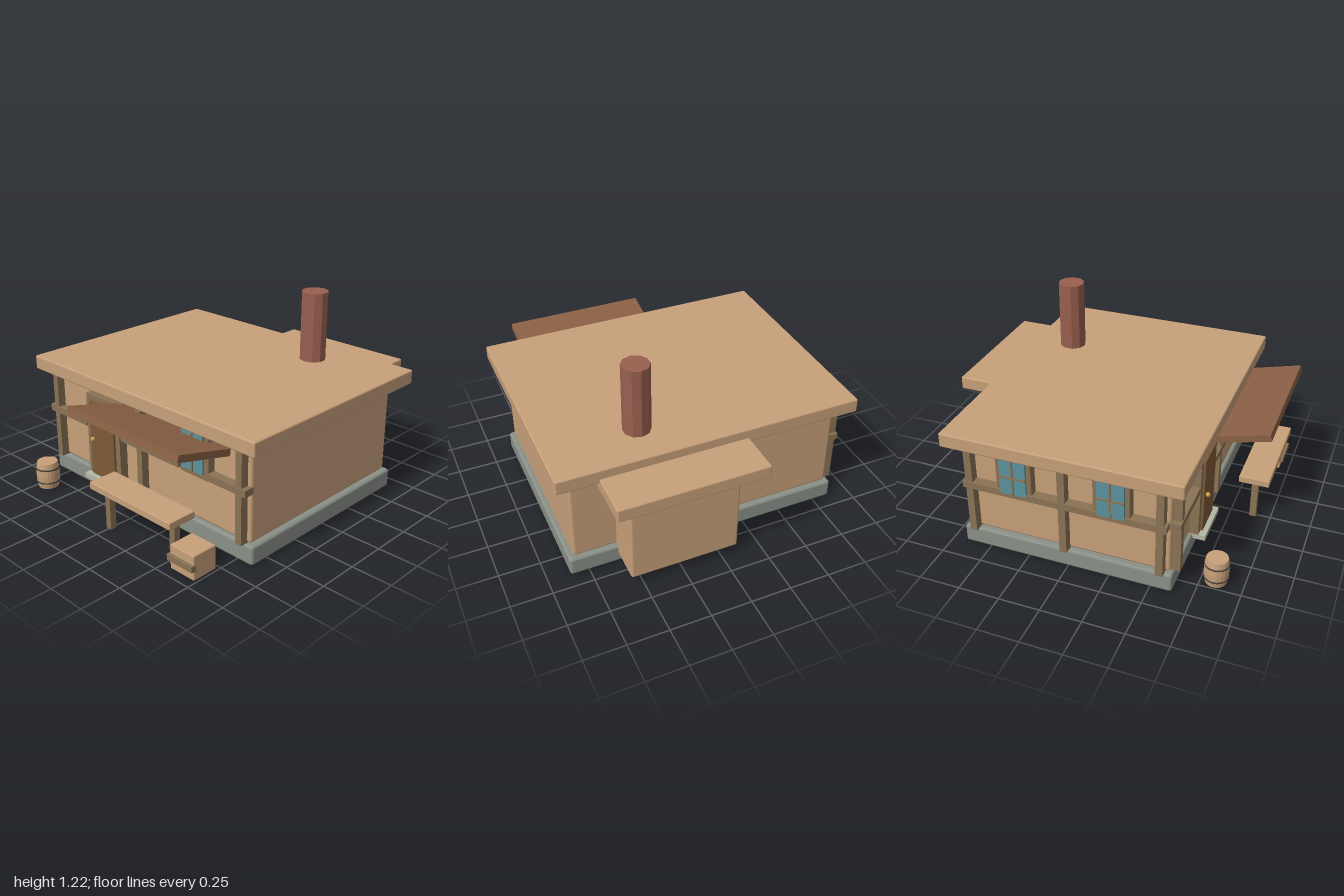
import * as THREE from 'three';
import { RoundedBoxGeometry } from 'three/addons/geometries/RoundedBoxGeometry.js';

const mat = (color, extra = {}) => new THREE.MeshStandardMaterial({ color, ...extra });
const tan = mat(0xc8a07a), stone = mat(0x8a9088), timber = mat(0x8a7355), brown = mat(0x8a6045);
const doorWood = mat(0x7d5a38), glass = mat(0x5a93a0), brick = mat(0x99604f, { flatShading: true });
const paleStone = mat(0xb4b8a8), iron = mat(0x4a4540), brass = mat(0xc9a050);

export function createModel() {
  const house = new THREE.Group();
  house.name = 'house';

  const add = (parent, name, geometry, material) => {
    const mesh = new THREE.Mesh(geometry, material);
    mesh.name = name;
    parent.add(mesh);
    return mesh;
  };
  // Box given by its limits on each axis; r > 0 rounds the edges
  const box = (parent, name, material, [x0, x1], [y0, y1], [z0, z1], r = 0) => {
    const s = [x1 - x0, y1 - y0, z1 - z0];
    const geometry = r ? new RoundedBoxGeometry(...s, 2, r) : new THREE.BoxGeometry(...s);
    const mesh = add(parent, name, geometry, material);
    mesh.position.set((x0 + x1) / 2, (y0 + y1) / 2, (z0 + z1) / 2);
    return mesh;
  };
  const group = (name, parent = house) => {
    const g = new THREE.Group();
    g.name = name;
    parent.add(g);
    return g;
  };

  // Main body
  box(house, 'foundation', stone, [-0.865, 0.865], [0, 0.12], [-0.665, 0.63], 0.018);
  box(house, 'walls', tan, [-0.835, 0.835], [0.12, 0.7], [-0.64, 0.61], 0.018);
  box(house, 'roof', tan, [-0.93, 0.93], [0.695, 0.785], [-0.735, 0.7], 0.01);

  // Rear extension with its footings
  box(house, 'extensionWalls', tan, [-0.1, 0.57], [0.055, 0.65], [-0.875, -0.58], 0.015);
  box(house, 'extensionRoof', tan, [-0.215, 0.685], [0.64, 0.725], [-1, -0.6], 0.01);
  for (const x of [-0.11, 0.235])
    box(house, 'footing', tan, [x - 0.05, x + 0.05], [0, 0.17], [-0.73, -0.62]);

  // Chimney
  add(house, 'chimney', new THREE.CylinderGeometry(0.083, 0.083, 0.62, 10), brick)
    .position.set(0.365, 0.91, -0.475);

  // Front timber framing
  const frame = group('frontTimbers');
  for (const x of [-0.788, 0, 0.788])
    box(frame, 'post', timber, [x - 0.022, x + 0.022], [0.12, 0.7], [0.6, 0.66]);
  for (const span of [[-0.845, -0.48], [-0.16, 0.335], [0.56, 0.84]])
    box(frame, 'rail', timber, span, [0.425, 0.467], [0.6, 0.665]);

  // Timber framing on the windowed side
  const sideFrame = group('sideTimbers');
  for (const z of [-0.59, -0.015, 0.56])
    box(sideFrame, 'post', timber, [-0.89, -0.825], [0.12, 0.7], [z - 0.022, z + 0.022]);
  box(sideFrame, 'rail', timber, [-0.895, -0.825], [0.425, 0.467], [-0.63, 0.6]);

  // Windows, built facing +z around their own centre
  const addWindow = (x, z, turn) => {
    const w = group('window');
    box(w, 'windowFrame', timber, [-0.11, 0.11], [-0.15, 0.13], [-0.02, 0.05], 0.008);
    box(w, 'windowGlass', glass, [-0.08, 0.08], [-0.115, 0.115], [0, 0.062]);
    box(w, 'mullion', timber, [-0.006, 0.006], [-0.115, 0.115], [0, 0.068]);
    box(w, 'mullion', timber, [-0.08, 0.08], [-0.006, 0.006], [0, 0.068]);
    w.position.set(x, 0.565, z);
    w.rotation.y = turn;
  };
  addWindow(0.455, 0.61, 0);
  for (const z of [-0.305, 0.28]) addWindow(-0.835, z, -Math.PI / 2);

  // Door
  const door = group('door');
  box(door, 'doorFrame', timber, [-0.47, -0.17], [0.12, 0.65], [0.6, 0.665]);
  box(door, 'doorPanel', doorWood, [-0.43, -0.21], [0.125, 0.62], [0.61, 0.68], 0.006);
  box(door, 'threshold', paleStone, [-0.47, -0.17], [0.09, 0.123], [0.6, 0.707]);
  add(door, 'doorKnob', new THREE.SphereGeometry(0.015, 12, 8), brass).position.set(-0.395, 0.37, 0.69);

  // Awning, rising towards its outer edge
  const awning = box(house, 'awning', brown, [-0.215, 0.685], [0.646, 0.688], [0.605, 0.997]);
  awning.rotation.x = -0.245;

  // Bench
  const bench = group('bench');
  box(bench, 'benchSeat', tan, [-0.065, 0.6], [0.265, 0.31], [0.795, 0.982], 0.006);
  for (const x of [0, 0.54])
    box(bench, 'benchLeg', timber, [x - 0.02, x + 0.02], [0, 0.27], [0.87, 0.91]);

  // Crate
  const crate = group('crate');
  box(crate, 'crateBody', tan, [0.555, 0.735], [0, 0.15], [0.775, 0.94], 0.006);
  box(crate, 'crateSlat', timber, [0.55, 0.74], [0.06, 0.097], [0.93, 0.96]);

  // Barrel
  const barrel = group('barrel');
  barrel.position.set(-0.685, 0, 0.838);
  const profile = [[0, 0.008], [0.064, 0.008], [0.071, 0.05], [0.073, 0.092], [0.071, 0.134], [0.064, 0.175], [0, 0.175]];
  add(barrel, 'barrelBody', new THREE.LatheGeometry(profile.map(p => new THREE.Vector2(...p)), 20),
    mat(0xc8a07a, { flatShading: true }));
  for (const y of [0.048, 0.136])
    add(barrel, 'barrelHoop', new THREE.CylinderGeometry(0.0735, 0.0735, 0.009, 20), iron).position.y = y;

  return house;
}
